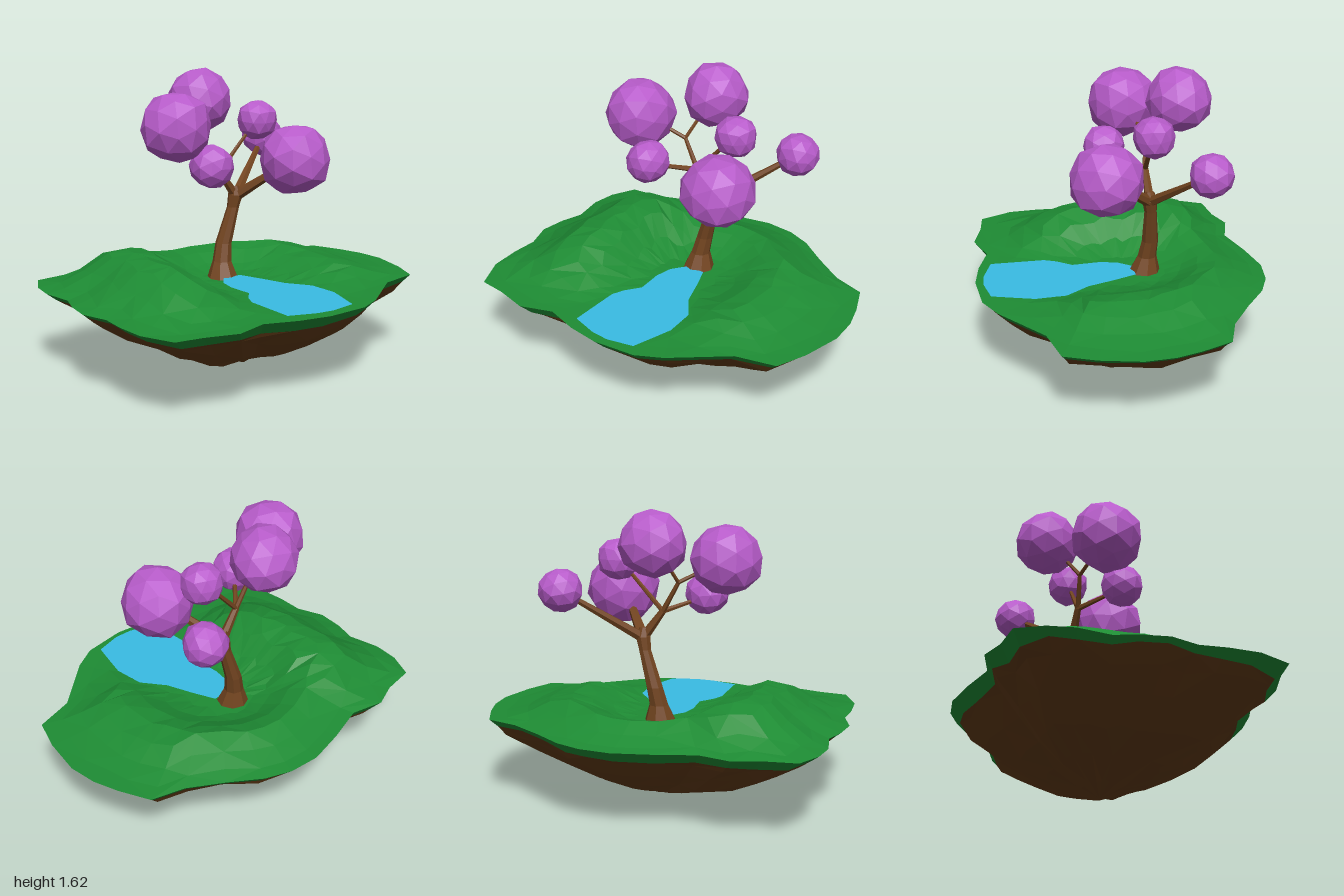
import * as THREE from 'three';

const paint = (name, color) => {
  const m = new THREE.MeshStandardMaterial({ color });
  m.name = name;
  return m;
};
const grass = paint('grass green', 0x1e8c34);
const soil = paint('soil brown', 0x623b17);
const bark = paint('bark brown', 0x734520);
const blossom = paint('blossom purple', 0xb85ccb);
const water = paint('water blue', 0x39bce4);

// Repeatable noise in -1..1
const noise = (a, b = 0) => {
  const s = Math.sin(a * 127.1 + b * 311.7) * 43758.5453;
  return (s - Math.floor(s)) * 2 - 1;
};
const V = (x, y, z) => new THREE.Vector3(x, y, z);

// Island edge as x, z pairs, anticlockwise seen from above
const EDGE = [
  [0.05, -1], [-0.11, -0.99], [-0.25, -0.95], [-0.42, -0.88], [-0.48, -0.7], [-0.6, -0.52], [-0.72, -0.36],
  [-0.78, -0.22], [-0.8, -0.05], [-0.76, 0.16], [-0.7, 0.38], [-0.75, 0.56], [-0.7, 0.7], [-0.68, 0.88],
  [-0.54, 0.95], [-0.4, 0.97], [-0.22, 0.94], [-0.1, 0.98], [0.05, 1], [0.2, 0.95], [0.35, 0.96], [0.52, 0.95],
  [0.7, 0.87], [0.72, 0.72], [0.77, 0.54], [0.71, 0.36], [0.77, 0.18], [0.8, 0], [0.78, -0.24], [0.71, -0.38],
  [0.6, -0.52], [0.49, -0.66], [0.44, -0.88], [0.27, -0.95],
];
const POND = [
  [-0.08, -0.07], [0.05, -0.12], [0.2, -0.17], [0.33, -0.26], [0.5, -0.27], [0.6, -0.24], [0.73, -0.2], [0.76, -0.05],
  [0.75, 0.05], [0.7, 0.2], [0.4, 0.2], [0.33, 0.17], [0.25, 0.11], [0.1, 0.12], [0, 0.1], [-0.08, 0.04],
];

// Faceted skin through closed rings of equal point count
function loft(rings) {
  const n = rings[0].length;
  const index = [];
  for (let r = 0; r < rings.length - 1; r++) {
    for (let i = 0; i < n; i++) {
      const a = r * n + i, b = r * n + (i + 1) % n;
      if ((i + r) % 2) index.push(a, b, b + n, a, b + n, a + n);
      else index.push(a, b, a + n, b, b + n, a + n);
    }
  }
  const g = new THREE.BufferGeometry().setFromPoints(rings.flat());
  g.setIndex(index);
  const flat = g.toNonIndexed();
  flat.computeVertexNormals();
  return flat;
}

// Ground height: front hill, gentle left and back rises around a flat pond basin
function groundHeight(x, z, t) {
  const wide = Math.exp(-(((x + 0.08) / 0.54) ** 4));
  const front = 0.19 * wide * Math.exp(-(((z - 0.53) / (z > 0.53 ? 0.42 : 0.27)) ** 2));
  const left = 0.1 * Math.exp(-(((x + 0.42) / 0.3) ** 2) - (z / 0.4) ** 2);
  const back = 0.095 * wide * Math.exp(-(((z + 0.46) / 0.32) ** 2));
  const d = Math.hypot(x < -0.1 ? x + 0.1 : 0, z + 0.03);
  const basin = THREE.MathUtils.smoothstep(d, 0.12, 0.48);
  const inland = Math.min(1, (1 - t) * 3);
  return 0.46 + basin * inland * (front + left + back + 0.004 * noise(x, z));
}

function buildIsland(add) {
  const rim = EDGE.map(([x, z]) => V(x, 0.46, z));
  // Point on the underside, shrinking towards the low tip
  const under = (i, t, y) => V(EDGE[i][0] * t, y, -0.05 + (EDGE[i][1] + 0.05) * t);

  const top = [1, 0.9, 0.78, 0.66, 0.54, 0.42, 0.3, 0.18, 0].map((t, r) =>
    EDGE.map(([ex, ez], i) => {
      const k = t === 1 || t === 0 ? t : t + 0.015 * noise(i, r);
      return V(ex * k, groundHeight(ex * k, ez * k, k), ez * k);
    }));
  add('grassTop', loft(top), grass);

  // Ragged grass lip hanging over the soil, deepest along both flanks
  const lip = EDGE.map(([x, z], i) => {
    const flank = Math.abs(x) / 0.8 * (1 - 0.3 * Math.abs(z));
    const drop = 0.02 + 0.045 * flank * (1 + 0.45 * noise(i, 3));
    return under(i, 1 - drop * 1.25, 0.46 - drop);
  });
  add('grassLip', loft([lip, rim]), grass);

  const profile = [[0, 0], [0.15, 0.045], [0.35, 0.105], [0.55, 0.18], [0.74, 0.28], [0.88, 0.37]];
  const earth = profile.map(([t, y], r) => EDGE.map((_, i) =>
    under(i, t * (1 + 0.03 * noise(i, r + 9)), y + (r ? 0.01 * noise(i, r + 20) : 0))));
  add('soilUnderside', loft([...earth, lip]), soil);

  // Pond surface
  const shape = new THREE.Shape(POND.map(([x, z]) => new THREE.Vector2(x, -z)));
  add('pond', new THREE.ShapeGeometry(shape).rotateX(-Math.PI / 2).translate(0, 0.472, 0), water);
}

function buildTree(add) {
  // Trunk with flared foot: x, y, z, radius
  const rings = [
    [-0.14, 0.45, 0.005, 0.09], [-0.155, 0.55, 0, 0.053], [-0.167, 0.65, -0.02, 0.046],
    [-0.157, 0.85, -0.078, 0.034], [-0.15, 0.92, -0.09, 0.042], [-0.15, 0.97, -0.085, 0.022],
  ];
  add('trunk', loft(rings.map(([x, y, z, r]) => Array.from({ length: 8 }, (_, i) => {
    const a = (i / 8) * Math.PI * 2;
    return V(x + r * Math.cos(a), y, z - r * Math.sin(a));
  }))), bark);

  // Tapering branches between two points
  const fork = V(-0.15, 0.91, -0.09), knot = V(-0.145, 1.06, 0.02), twig = V(-0.16, 1.22, 0.11);
  const branches = [
    [fork, V(-0.38, 1.17, -0.44), 0.03, 0.014],
    [fork, V(0.08, 1.1, -0.26), 0.032, 0.018],
    [fork, knot, 0.028, 0.018],
    [knot, V(0.02, 1.11, 0.18), 0.016, 0.01],
    [knot, V(-0.14, 1.3, -0.2), 0.014, 0.009],
    [knot, twig, 0.015, 0.011],
    [twig, V(-0.09, 1.32, 0.3), 0.011, 0.009],
    [twig, V(-0.28, 1.4, 0.04), 0.011, 0.009],
  ];
  branches.forEach(([from, to, r0, r1]) => {
    const dir = to.clone().sub(from);
    const g = new THREE.CylinderGeometry(r1, r0, dir.length(), 6).toNonIndexed();
    g.computeVertexNormals();
    const m = add('branch', g, bark);
    m.position.copy(from).addScaledVector(dir, 0.5);
    m.quaternion.setFromUnitVectors(V(0, 1, 0), dir.normalize());
  });

  // Faceted, slightly uneven blossom clumps: x, y, z, radius
  const clumps = [
    [-0.325, 1.44, 0.025, 0.178], [-0.075, 1.342, 0.348, 0.193], [0.12, 1.133, -0.297, 0.199],
    [-0.395, 1.19, -0.46, 0.118], [-0.14, 1.328, -0.23, 0.113], [0.05, 1.135, 0.208, 0.118],
  ];
  clumps.forEach(([x, y, z, r], k) => {
    const g = new THREE.IcosahedronGeometry(r, 1);
    const p = g.attributes.position, v = V(0, 0, 0);
    for (let i = 0; i < p.count; i++) {
      v.fromBufferAttribute(p, i);
      const q = v.clone().divideScalar(r);
      v.multiplyScalar(1 + 0.035 * Math.sin(q.x * 5 + q.y * 7 + q.z * 9 + k));
      p.setXYZ(i, v.x, v.y, v.z);
    }
    g.computeVertexNormals();
    const m = add('blossomClump', g, blossom);
    m.position.set(x, y, z);
    m.rotation.set(0.5 + k * 0.9, 0.3 + k * 1.3, k * 0.6);
  });
}

export function createModel() {
  const model = new THREE.Group();
  model.name = 'floatingIsland';
  const section = (name, build) => {
    const group = new THREE.Group();
    group.name = name;
    model.add(group);
    build((part, geometry, material) => {
      const mesh = new THREE.Mesh(geometry, material);
      mesh.name = part;
      group.add(mesh);
      return mesh;
    });
  };
  section('island', buildIsland);
  section('tree', buildTree);
  return model;
}
